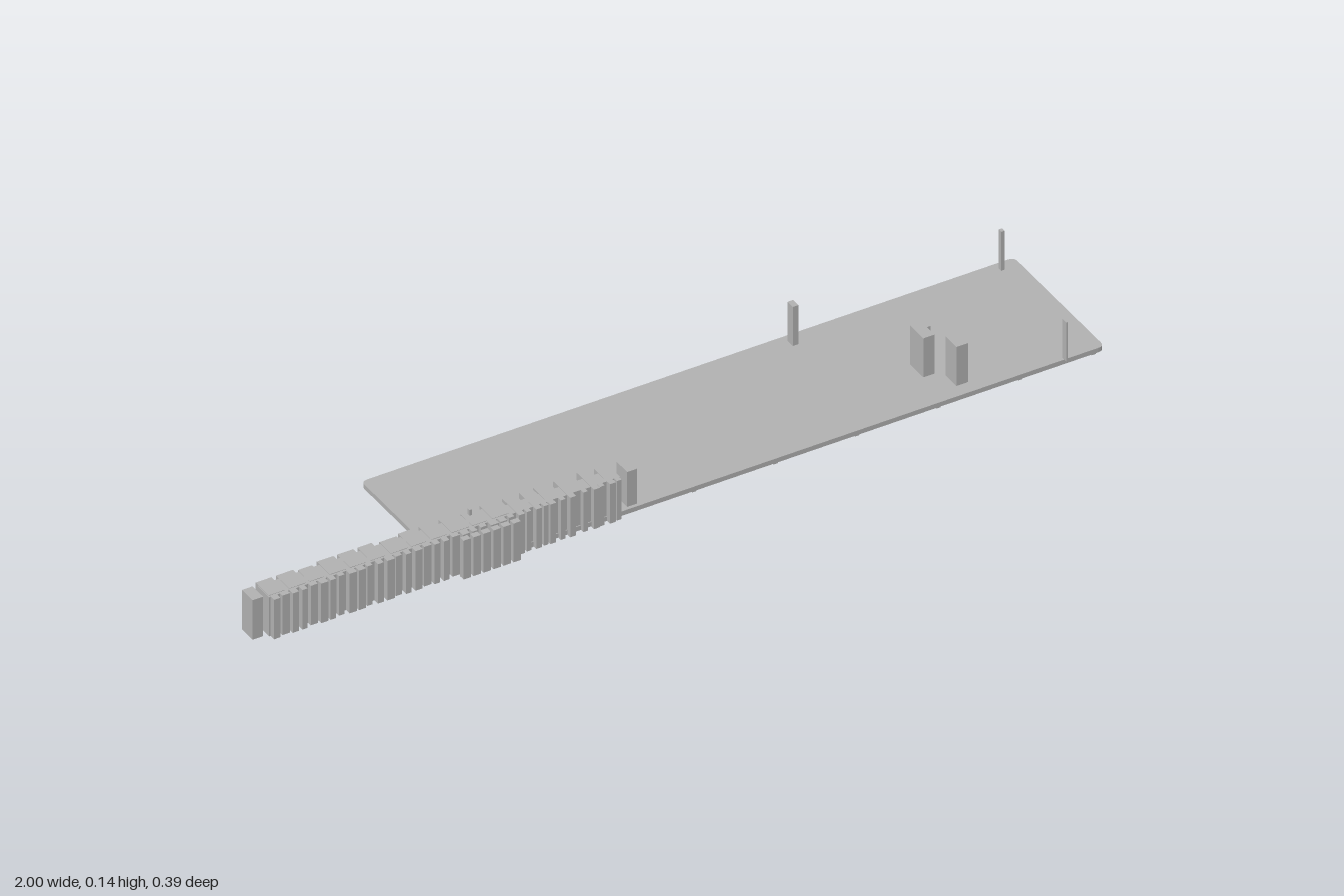
import * as THREE from 'three';

const grey = new THREE.MeshStandardMaterial({ color: 0xb0b0b0 });
grey.name = 'plain grey';

// Box given by its limits on each axis
function box(parent, name, x0, x1, y0, y1, z0, z1) {
  const mesh = new THREE.Mesh(new THREE.BoxGeometry(x1 - x0, y1 - y0, z1 - z0), grey);
  mesh.position.set((x0 + x1) / 2, (y0 + y1) / 2, (z0 + z1) / 2);
  mesh.name = name;
  parent.add(mesh);
  return mesh;
}

function group(parent, name) {
  const g = new THREE.Group();
  g.name = name;
  parent.add(g);
  return g;
}

// Long thin deck with rounded corners
function addDeck(parent) {
  const x0 = -0.537, x1 = 0.997, z0 = -0.194, z1 = 0.165, r = 0.014;
  const s = new THREE.Shape();
  s.moveTo(x0 + r, -z1);
  s.lineTo(x1 - r, -z1);
  s.quadraticCurveTo(x1, -z1, x1, -z1 + r);
  s.lineTo(x1, -z0 - r);
  s.quadraticCurveTo(x1, -z0, x1 - r, -z0);
  s.lineTo(x0 + r, -z0);
  s.quadraticCurveTo(x0, -z0, x0, -z0 - r);
  s.lineTo(x0, -z1 + r);
  s.quadraticCurveTo(x0, -z1, x0 + r, -z1);
  const geo = new THREE.ExtrudeGeometry(s, { depth: 0.011, bevelEnabled: false, curveSegments: 4 });
  geo.rotateX(-Math.PI / 2);
  const mesh = new THREE.Mesh(geo, grey);
  mesh.position.y = 0.0235;
  mesh.name = 'deck';
  parent.add(mesh);
}

// Joists, runners and end pegs below the deck
function addUnderframe(parent) {
  const g = group(parent, 'underframe');
  for (let i = 0; i <= 8; i++) {
    const x = i === 0 ? -0.517 : i === 8 ? 0.977 : -0.537 + i * 0.1915;
    box(g, 'joist', x - 0.005, x + 0.005, 0.015, 0.0237, -0.185, 0.157);
  }
  box(g, 'frontRunner', -0.522, 0.982, 0.0155, 0.0237, 0.139, 0.149);
  box(g, 'backRunner', -0.522, 0.982, 0.0155, 0.0237, -0.177, -0.167);
  box(g, 'rightPeg', -0.53, -0.508, 0, 0.0237, 0, 0.008);
  box(g, 'leftPeg', 0.967, 0.99, 0, 0.0237, 0, 0.008);
}

// Row of upright blocks standing along the front edge
function addBlockRow(parent) {
  const g = group(parent, 'blockRow');
  const bottom = 0.0232, top = 0.121;
  box(g, 'endBlock', -1, -0.975, bottom, top, 0.114, 0.156);
  box(g, 'core', -0.965, -0.39, bottom, top - 0.001, 0.117, 0.163);

  // Broad blocks along the back, with narrow recesses between them
  for (let i = 0; i < 12; i++) {
    const x = -0.963 + i * 0.0478;
    const w = 0.037 + 0.004 * Math.sin(i * 2.3);
    box(g, 'backBlock', x, x + w, bottom, top, i % 4 === 2 ? 0.112 : 0.106, 0.158);
  }

  // Narrow plates along the front
  for (let i = 0; i < 26; i++) {
    const x = -0.962 + i * 0.0222;
    const w = 0.015 + 0.003 * Math.sin(i * 1.7);
    box(g, 'frontPlate', x, x + w, bottom, top, 0.16, i % 3 === 1 ? 0.173 : 0.177);
  }

  // Looser blocks toward the left end
  const loose = [
    [-0.385, -0.355], [-0.345, -0.315], [-0.312, -0.275], [-0.265, -0.222],
    [-0.209, -0.183], [-0.172, -0.143], [-0.12, -0.097],
  ];
  loose.forEach(([a, b], i) => {
    const last = i === loose.length - 1;
    box(g, 'looseBlock', a, b, bottom, top, i > 4 ? 0.114 : 0.107, last ? 0.157 : 0.163);
    if (!last) {
      box(g, 'frontPlate', a, a + 0.014, bottom, top, 0.16, 0.176);
      box(g, 'frontPlate', b - 0.011, b, bottom, top, 0.16, 0.174);
    }
  });
  box(g, 'looseCore', -0.392, -0.14, bottom, top - 0.001, 0.13, 0.163);

  // Short outer row and a small stud on top
  for (let i = 0; i < 6; i++) {
    const x = -0.527 + i * 0.0235;
    box(g, 'outerPlate', x, x + 0.017, 0.025, top, 0.181, 0.195);
  }
  box(g, 'topStud', -0.472, -0.466, top - 0.002, 0.135, 0.118, 0.126);
}

// Single uprights on the deck
function addUprights(parent) {
  const g = group(parent, 'uprights');
  const y0 = 0.034, y1 = 0.131;
  box(g, 'backPost', 0.455, 0.468, y0, y1, -0.177, -0.156);
  box(g, 'cornerPost', 0.951, 0.959, y0, y1, -0.177, -0.167);
  box(g, 'edgePlate', 0.903, 0.907, y0, y1, 0.158, 0.173);
  box(g, 'innerPillar', 0.626, 0.652, y0, y1, 0.021, 0.073);
  box(g, 'innerPillarStep', 0.651, 0.661, y0, y1, 0.027, 0.043);
  box(g, 'outerPillar', 0.668, 0.695, y0, y1, 0.09, 0.133);
}

export function createModel() {
  const model = new THREE.Group();
  model.name = 'deckWithBlocks';
  addDeck(model);
  addUnderframe(model);
  addBlockRow(model);
  addUprights(model);
  return model;
}
